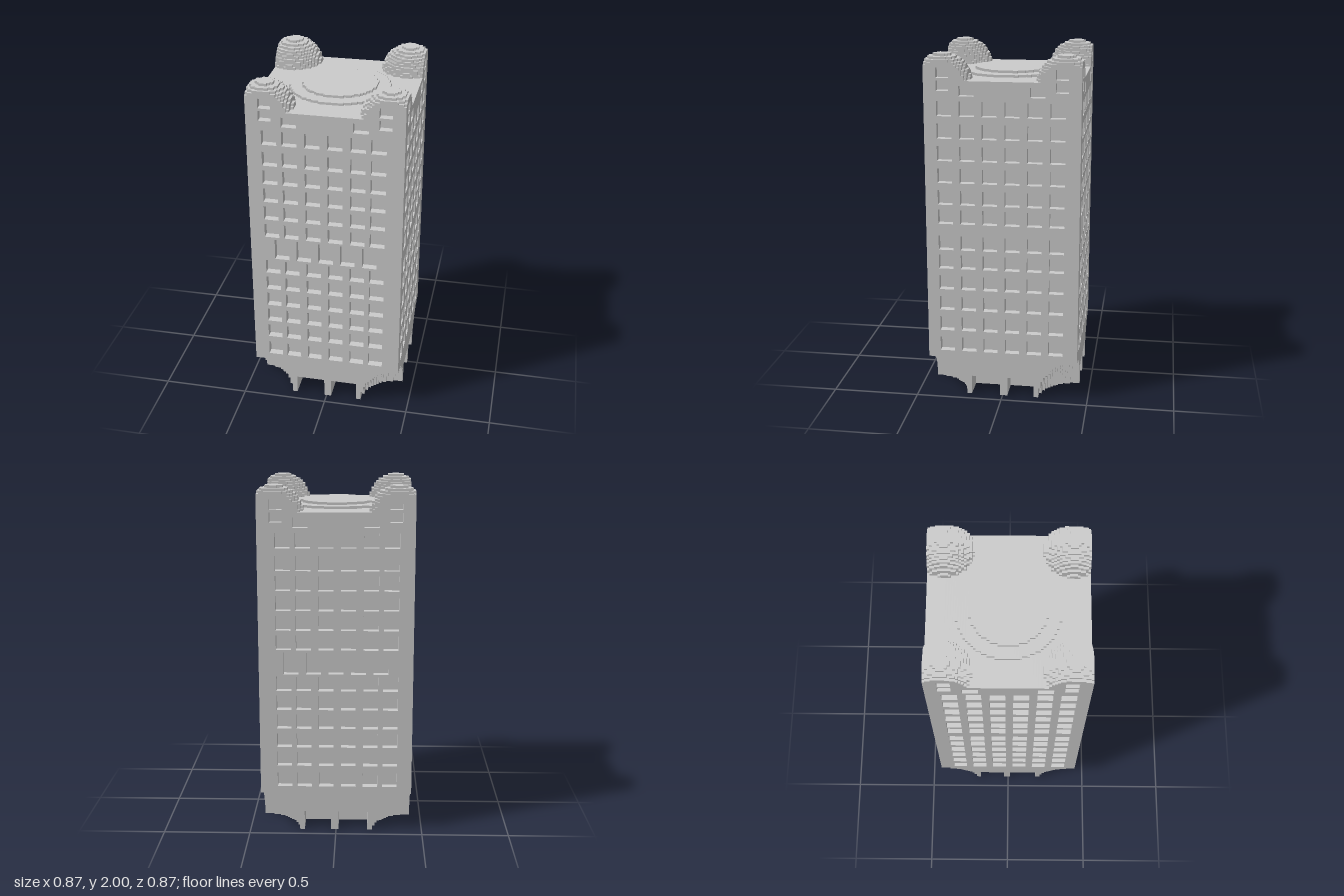
import * as THREE from 'three';

// The tower is made of small cubes: N x H x N cells
const N = 62, H = 142, ROOF = 132, BASE = 17;
const CELL = 2 / H;
const WINDOW_DEPTH = 3, DOOR_DEPTH = 10;

// Openings as [start, bottom, width, height] in cells
const grid = (cols, rows, w, h) => rows.flatMap(r => cols.map(c => [c, r, w, h]));
const cornerWindows = [
  ...grid([5, 52], [128, 133], 5, 4),
  ...grid([14, 42], [126], 6, 4),
];
const frontWindows = [
  ...cornerWindows,
  ...grid([6, 14, 23, 32, 41, 49], [19, 28, 36, 44, 52, 60, 77, 85, 93, 101, 109, 118], 6, 6),
  ...grid([10, 19, 28, 37, 46], [67], 6, 9), // tall middle storey
];
const sideWindows = [
  ...cornerWindows,
  ...grid([5, 14, 23, 32, 41, 50], [19, 28, 37, 46, 55, 63, 74, 82, 91, 100, 109, 118], 6, 6),
];
const doors = [[18, 0, 12, 8], [33, 0, 11, 8]];

const inAny = (list, a, y) =>
  list.some(([c, r, w, h]) => a >= c && a < c + w && y >= r && y < r + h);

const PARTS = ['', 'base', 'towerBody', 'cornerDomes', 'roofDisc'];

// Which part a cell belongs to (0 = empty)
function partAt(i, j, k) {
  const p = Math.min(i, N - 1 - i), q = Math.min(k, N - 1 - k), m = N - 1 - k;
  // Recessed openings
  if (q < WINDOW_DEPTH && inAny(frontWindows, i, j)) return 0;
  if (p < WINDOW_DEPTH && inAny(sideWindows, m, j)) return 0;
  if (q < DOOR_DEPTH && inAny(doors, i, j)) return 0;
  if (p < DOOR_DEPTH && inAny(doors, m, j)) return 0;
  // Rounded bites out of the bottom corners
  if (p * p + q * q + j * j < 15.5 ** 2) return 0;
  if (j < BASE) return 1;
  if (j < ROOF) return 2;
  // Stepped domes, cut flush with the walls
  if ((p - 6) ** 2 + (q - 6) ** 2 + (j - 130) ** 2 < 11.5 ** 2) return 3;
  // Two-step round platform
  const r2 = (i - 30.5) ** 2 + (k - 30.5) ** 2;
  if ((j === ROOF && r2 < 405) || (j === ROOF + 1 && r2 < 226)) return 4;
  return 0;
}

// Exposed faces of one part, joined into strips
function skin(cellAt, part) {
  const size = [N, H, N], pos = [], nor = [], idx = [];
  const addQuad = (a, s, u, v, start, end) => {
    const first = pos.length / 3;
    for (const [du, dv] of [[0, 0], [1, 0], [1, 1], [0, 1]]) {
      const c = [...start];
      if (s > 0) c[a] += 1;
      if (du) c[u] = end;
      c[v] += dv;
      pos.push((c[0] - N / 2) * CELL, c[1] * CELL, (c[2] - N / 2) * CELL);
      const n = [0, 0, 0];
      n[a] = s;
      nor.push(...n);
    }
    const order = (a === 2) === (s > 0) ? [0, 1, 2, 0, 2, 3] : [0, 2, 1, 0, 3, 2];
    idx.push(...order.map(o => first + o));
  };
  for (let a = 0; a < 3; a++) {
    const u = a === 0 ? 2 : 0, v = 3 - a - u;
    for (const s of [-1, 1]) {
      for (let d = 0; d < size[a]; d++) {
        for (let y = 0; y < size[v]; y++) {
          let start = null;
          for (let x = 0; x <= size[u]; x++) {
            const c = [0, 0, 0];
            c[a] = d; c[u] = x; c[v] = y;
            let open = false;
            if (x < size[u] && cellAt(c[0], c[1], c[2]) === part) {
              const n = [...c];
              n[a] += s;
              open = cellAt(n[0], n[1], n[2]) === 0;
            }
            if (open && !start) start = c;
            if (!open && start) {
              addQuad(a, s, u, v, start, x);
              start = null;
            }
          }
        }
      }
    }
  }
  const geo = new THREE.BufferGeometry();
  geo.setAttribute('position', new THREE.Float32BufferAttribute(pos, 3));
  geo.setAttribute('normal', new THREE.Float32BufferAttribute(nor, 3));
  geo.setIndex(idx);
  return geo;
}

export function createModel() {
  const cells = new Uint8Array(N * H * N);
  for (let j = 0; j < H; j++)
    for (let k = 0; k < N; k++)
      for (let i = 0; i < N; i++) cells[(j * N + k) * N + i] = partAt(i, j, k);
  const cellAt = (i, j, k) =>
    i < 0 || j < 0 || k < 0 || i >= N || j >= H || k >= N ? 0 : cells[(j * N + k) * N + i];

  const group = new THREE.Group();
  group.name = 'tower';
  const material = new THREE.MeshStandardMaterial({ color: 0xcccccc, flatShading: true });
  for (let part = 1; part < PARTS.length; part++) {
    const mesh = new THREE.Mesh(skin(cellAt, part), material);
    mesh.name = PARTS[part];
    group.add(mesh);
  }
  return group;
}
